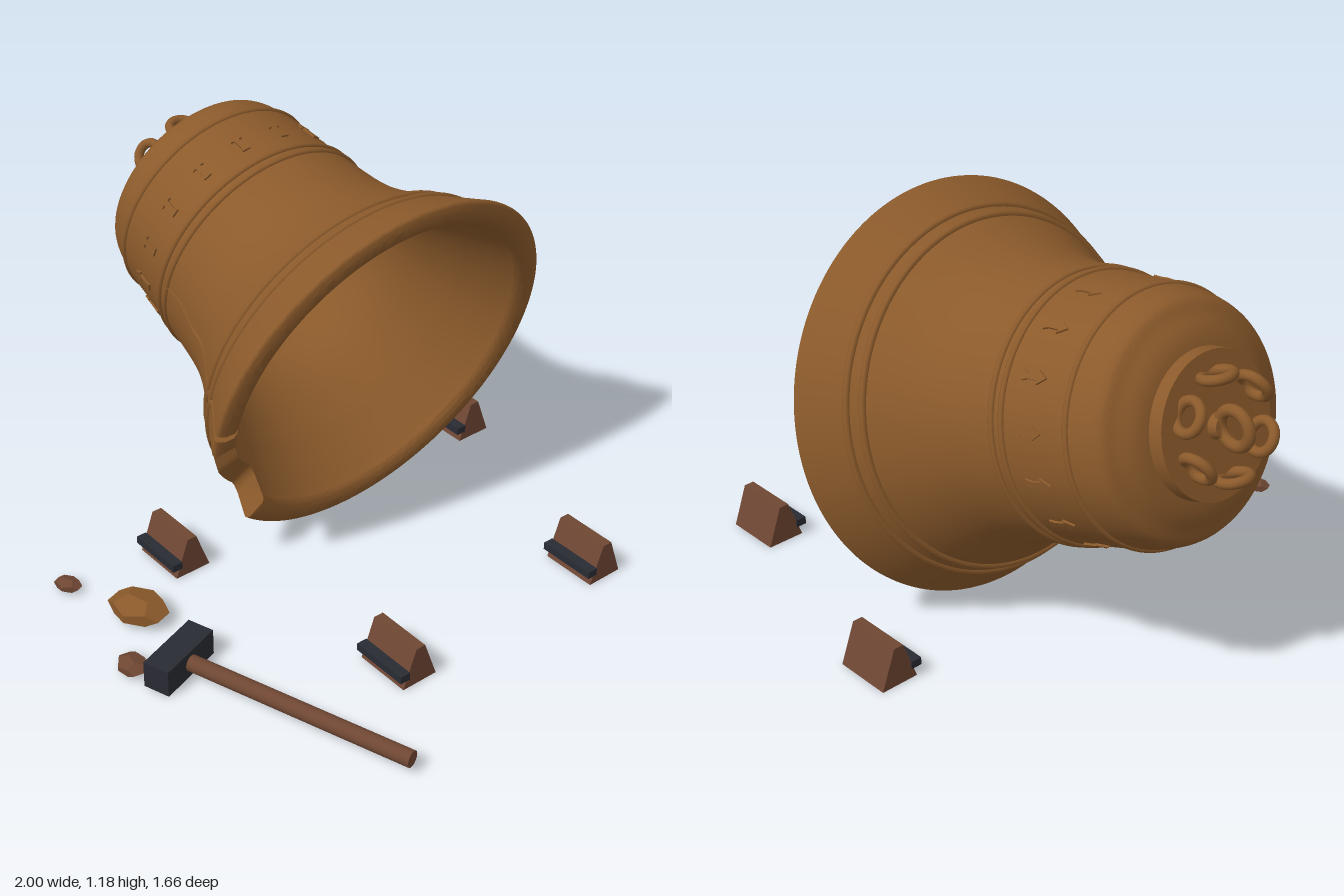
import * as THREE from 'three';
import { toCreasedNormals } from 'three/addons/utils/BufferGeometryUtils.js';

const material = (name, color) => {
  const m = new THREE.MeshStandardMaterial({ color });
  m.name = name;
  return m;
};

function addMesh(parent, name, geometry, mat, x = 0, y = 0, z = 0) {
  const mesh = new THREE.Mesh(geometry, mat);
  mesh.name = name;
  mesh.position.set(x, y, z);
  parent.add(mesh);
  return mesh;
}

// Linear interpolation in a table of [key, value] pairs with rising keys
function lookup(table, key) {
  if (key <= table[0][0]) return table[0][1];
  for (let i = 1; i < table.length; i++) {
    const [a, va] = table[i - 1], [b, vb] = table[i];
    if (key <= b) return va + (vb - va) * (key - a) / (b - a);
  }
  return table[table.length - 1][1];
}

// Bell profiles as (radius, distance from the mouth); both have the same point count
const curve = (pts) => new THREE.SplineCurve(pts.map(([r, t]) => new THREE.Vector2(r, t)));
const outer = curve([[0.585, 0], [0.61, 0.015], [0.595, 0.045], [0.535, 0.142], [0.495, 0.209],
  [0.436, 0.32], [0.403, 0.422], [0.38, 0.583], [0.366, 0.717], [0.353, 0.841],
  [0.329, 0.929], [0.288, 0.957], [0.206, 0.989], [0, 0.995]]);
const inner = curve([[0.555, 0], [0.53, 0.015], [0.515, 0.045], [0.465, 0.142], [0.43, 0.209],
  [0.38, 0.32], [0.35, 0.422], [0.328, 0.583], [0.315, 0.717], [0.3, 0.82],
  [0.27, 0.87], [0.22, 0.89], [0.15, 0.9], [0, 0.9]]);
const SPANS = 13;

// Crack path: distance from the mouth -> angle around the axis
const CRACK_END = 0.608;
const crack = [[0, 0.012], [0.077, 0.037], [0.123, 0.046], [0.164, -0.015], [0.242, -0.017],
  [0.327, 0.042], [0.416, -0.002], [0.501, 0.067], [CRACK_END, 0.035]];
const crackGap = (t) => 0.018 * THREE.MathUtils.clamp((CRACK_END - t) / 0.12, 0, 1);

// Missing piece of the rim: angle in degrees -> depth in profile spans
const bite = [[313, 0], [315, 2.4], [317, 2.6], [330, 2.5], [337, 2.78], [346, 2.6],
  [352.5, 2.3], [354.5, 0]];

// Shell whose seam follows the crack; rows run up the inside, round the lip and up the outside
function bellShell() {
  const cols = 240, half = SPANS * 5, rows = 2 * (half + 1);
  const pos = [], index = [];
  for (let j = 0; j <= cols; j++) {
    const v = j / cols, depth = lookup(bite, v * 360);
    for (let i = 0; i < rows; i++) {
      const k = i <= half ? half - i : i - half - 1;
      const u = Math.max(k / 5, depth) / SPANS;
      const p = (i <= half ? inner : outer).getPoint(u);
      const t = outer.getPoint(u).y;
      const a = 2 * Math.PI * v + lookup(crack, t) * Math.abs(1 - 2 * v) + crackGap(t) * (1 - 2 * v);
      pos.push(p.x * Math.sin(a), p.y, p.x * Math.cos(a));
    }
  }
  const quad = (a, b, c, d) => index.push(a, b, c, a, c, d);
  for (let j = 0; j < cols; j++) {
    for (let i = 0; i < rows - 1; i++) {
      const a = j * rows + i, b = a + rows;
      quad(a, b, b + 1, a + 1);
    }
  }
  // Broken walls on both sides of the crack
  for (let k = 0; outer.getPoint(k / 5 / SPANS).y < CRACK_END; k++) {
    const o = half + 1 + k, n = half - k, e = cols * rows;
    quad(o, o + 1, n - 1, n);
    quad(e + n, e + n - 1, e + o + 1, e + o);
  }
  const geo = new THREE.BufferGeometry();
  geo.setAttribute('position', new THREE.Float32BufferAttribute(pos, 3));
  geo.setIndex(index);
  return toCreasedNormals(geo, 0.6);
}

// Raised ring round the bell, left open where the crack passes
function mouldingRing(t, r, tube) {
  const gap = crackGap(t);
  return new THREE.TorusGeometry(r, tube, 8, 120, 2 * Math.PI - 2 * gap)
    .rotateZ(Math.PI / 2 - lookup(crack, t) + gap)
    .rotateX(Math.PI / 2);
}

function buildBell(bronze) {
  const bell = new THREE.Group();
  bell.name = 'bell';
  addMesh(bell, 'bellShell', bellShell(), bronze);

  for (const [t, r, tube] of [[0.148, 0.53, 0.011], [0.19, 0.506, 0.011],
    [0.583, 0.38, 0.009], [0.618, 0.376, 0.009], [0.841, 0.352, 0.009]]) {
    addMesh(bell, 'mouldingRing', mouldingRing(t, r, tube), bronze, 0, t, 0);
  }

  // Small arrow-shaped ornaments between the rings
  const arrow = new THREE.Shape([[0, 0.043], [0.02, 0.012], [0.009, 0.014], [0.008, -0.022],
    [0.014, -0.04], [-0.014, -0.04], [-0.008, -0.022], [-0.009, 0.014], [-0.02, 0.012]]
    .map(([x, y]) => new THREE.Vector2(x, y)));
  const arrowGeo = new THREE.ExtrudeGeometry(arrow, { depth: 0.009, bevelEnabled: false });
  arrowGeo.rotateX(-0.1).translate(0, 0.717, 0.363);
  for (let i = 0; i < 16; i++) {
    addMesh(bell, 'ornament', arrowGeo, bronze).rotation.y = (i + 0.5) * Math.PI / 8;
  }

  // Crown: plate, six loops round it and a larger loop in the middle
  addMesh(bell, 'crownPlate', new THREE.CylinderGeometry(0.2, 0.205, 0.06, 48), bronze, 0, 1.0, 0);
  const loop = new THREE.TorusGeometry(0.043, 0.015, 10, 28);
  for (let i = 0; i < 6; i++) {
    const a = Math.PI / 6 + i * Math.PI / 3;
    addMesh(bell, 'crownLoop', loop, bronze, 0.14 * Math.sin(a), 1.06, 0.14 * Math.cos(a)).rotation.y = a;
  }
  addMesh(bell, 'centreLoop', new THREE.TorusGeometry(0.05, 0.017, 10, 32), bronze, 0, 1.092, 0);
  addMesh(bell, 'centrePost', new THREE.CylinderGeometry(0.03, 0.04, 0.04, 20), bronze, 0, 1.035, 0);

  bell.position.set(0.12, 0.59, -0.195);
  bell.rotation.z = THREE.MathUtils.degToRad(74.5);
  return bell;
}

// Wedge-shaped support block with an iron bar along its front
function buildBlock(x, z, wood, iron) {
  const block = new THREE.Group();
  block.name = 'supportBlock';
  const section = new THREE.Shape([[-0.061, 0], [0.061, 0], [0.016, 0.125], [-0.016, 0.125]]
    .map(([a, b]) => new THREE.Vector2(a, b)));
  const geo = new THREE.ExtrudeGeometry(section, { depth: 0.182, bevelEnabled: false });
  geo.translate(0, 0, -0.091).rotateY(Math.PI / 2);
  addMesh(block, 'wedge', geo, wood);
  addMesh(block, 'ironBar', new THREE.BoxGeometry(0.19, 0.024, 0.034), iron, 0, 0.044, 0.058);
  block.position.set(x, 0.003, z);
  return block;
}

function buildHammer(wood, iron) {
  const hammer = new THREE.Group();
  hammer.name = 'hammer';
  addMesh(hammer, 'hammerHead', new THREE.BoxGeometry(0.085, 0.086, 0.22), iron);
  const handle = new THREE.CylinderGeometry(0.025, 0.025, 0.765, 16).rotateZ(Math.PI / 2);
  addMesh(hammer, 'hammerHandle', handle, wood, 0.3825, 0.002, 0);
  hammer.position.set(0.265, 0.048, 0.68);
  hammer.rotation.y = 0.323;
  return hammer;
}

export function createModel() {
  const bronze = material('bronze', 0x8b5a2b);
  const wood = material('wood', 0x6f4733);
  const iron = material('dark iron', 0x292b33);

  const model = new THREE.Group();
  model.name = 'brokenBell';
  model.add(buildBell(bronze), buildHammer(wood, iron));

  for (const [x, z] of [[-0.165, 0.383], [-0.165, -0.772], [0.64, -0.565], [0.64, 0.18]]) {
    model.add(buildBlock(x, z, wood, iron));
  }

  // Faceted fragments lying in front
  for (const [x, y, z, sx, sy, sz, turn, mat] of [
    [0, 0.042, 0.635, 0.1, 0.034, 0.078, 0.3, bronze],
    [-0.24, 0.022, 0.725, 0.046, 0.019, 0.034, 0.4, wood],
    [0.18, 0.024, 0.785, 0.056, 0.021, 0.045, -0.2, wood]]) {
    const shard = addMesh(model, 'fragment', new THREE.DodecahedronGeometry(1, 0), mat, x, y, z);
    shard.scale.set(sx, sy, sz);
    shard.rotation.y = turn;
  }
  return model;
}
